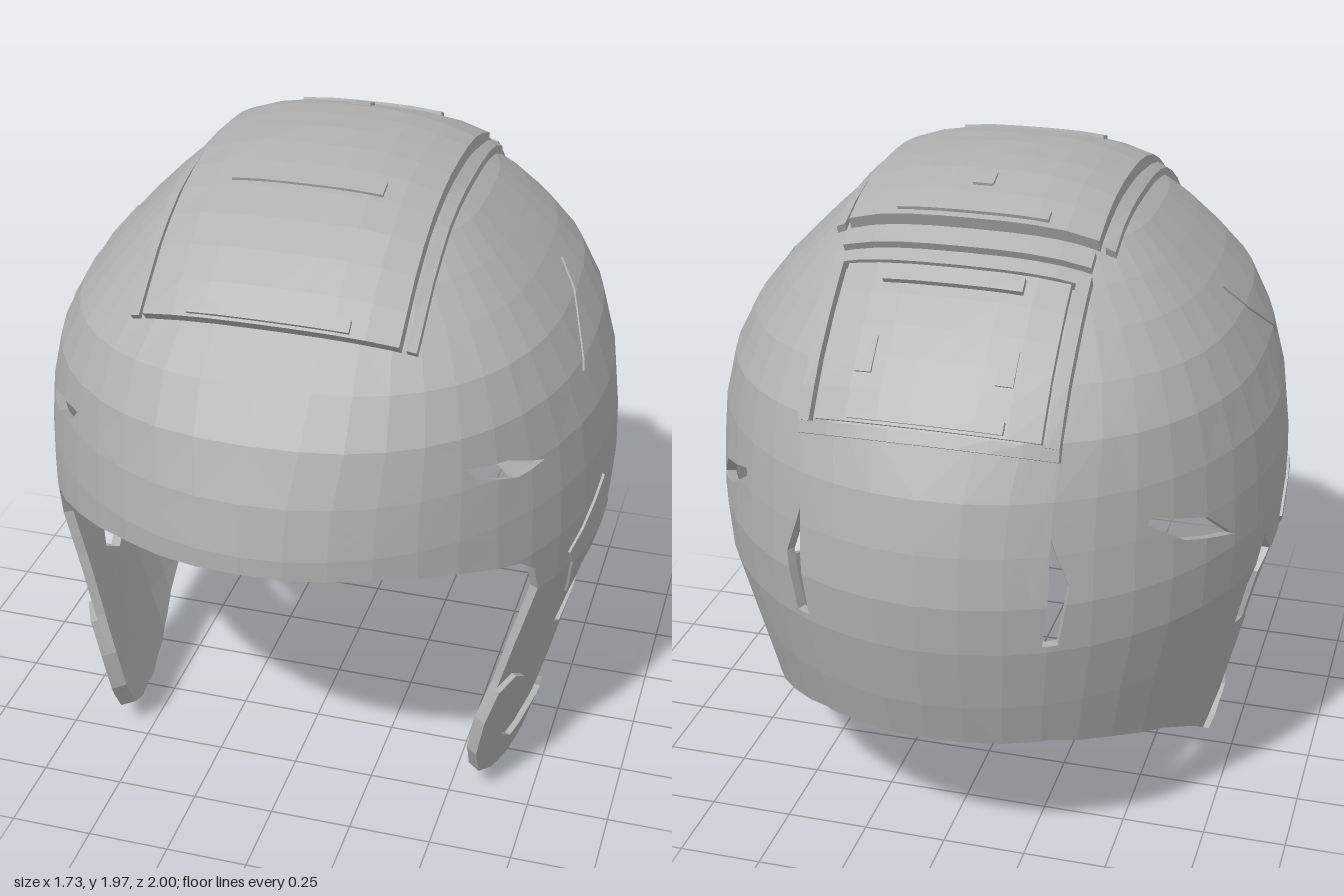
import * as THREE from 'three';

// Horizontal rings of the shell: height, half width, front depth, back depth
const RINGS = [
  [0, .64, .95, .80], [.2, .70, .96, .83], [.4, .75, .97, .88], [.6, .80, .98, .94],
  [.8, .855, .99, .985], [.95, .865, 1, 1], [1.1, .86, 1, .985], [1.25, .84, .97, .95],
  [1.4, .79, .91, .875], [1.53, .72, .82, .77], [1.64, .63, .68, .66], [1.73, .54, .58, .56],
  [1.81, .455, .46, .44], [1.87, .36, .33, .32], [1.91, .22, .2, .2], [1.93, 0, 0, 0],
];
const COLS = 22, TOP = RINGS.length - 1, CENTRE_Y = .9;

const grey = new THREE.MeshStandardMaterial({ color: 0xb0b0b0, flatShading: true });
grey.name = 'shell grey';

const clamp = THREE.MathUtils.clamp, lerp = THREE.MathUtils.lerp;

// Rings grow boxier towards the crown
const power = (y) => 2 + clamp((y - 1.2) / .6, 0, 1);

function ringAt(y) {
  let i = 0;
  while (i < TOP - 1 && RINGS[i + 1][0] < y) i++;
  const f = clamp((y - RINGS[i][0]) / (RINGS[i + 1][0] - RINGS[i][0]), 0, 1);
  const [, w, zf, zb] = RINGS[i].map((a, k) => lerp(a, RINGS[i + 1][k], f));
  return { v: i + f, w, zf, zb };
}

// Side position [z, y] to unrolled surface coordinates [column, ring]
function toUV([z, y]) {
  const r = ringAt(y);
  const t = clamp(z / (z > 0 ? r.zf : r.zb), -1, 1);
  const c = Math.sign(t) * Math.pow(Math.abs(t), power(y) / 2);
  return [Math.acos(c) / Math.PI * COLS, r.v];
}

function gridPoint(i, j) {
  const [y, w, zf, zb] = RINGS[j], e = 2 / power(y), a = i / COLS * Math.PI;
  const c = Math.cos(a), s = Math.max(0, Math.sin(a));
  return new THREE.Vector3(i % COLS ? w * s ** e : 0, y,
    Math.sign(c) * Math.abs(c) ** e * (c > 0 ? zf : zb));
}

// Point on the faceted shell, moved outwards by d
function surface([u, v], d) {
  const i = Math.min(COLS - 1, Math.floor(u + 1e-7)), j = Math.min(TOP - 1, Math.floor(v + 1e-7));
  const p = gridPoint(i, j).lerp(gridPoint(i + 1, j), u - i)
    .lerp(gridPoint(i, j + 1).lerp(gridPoint(i + 1, j + 1), u - i), v - j);
  const out = new THREE.Vector3(p.x, Math.max(0, p.y - CENTRE_Y), p.z).normalize();
  return p.addScaledVector(out, d);
}

// Cut convex polygons along whole-number grid lines of one axis
function slice(polys, axis) {
  const result = [];
  for (let poly of polys) {
    const vals = poly.map((p) => p[axis]), max = Math.max(...vals);
    for (let k = Math.floor(Math.min(...vals) + 1e-7) + 1; k < max - 1e-7; k++) {
      const lo = [], hi = [];
      poly.forEach((a, i) => {
        const b = poly[(i + 1) % poly.length], da = a[axis] - k, db = b[axis] - k;
        if (da < 1e-7) lo.push(a);
        if (da > -1e-7) hi.push(a);
        if ((da < -1e-7 && db > 1e-7) || (da > 1e-7 && db < -1e-7)) {
          const f = da / (da - db), m = [lerp(a[0], b[0], f), lerp(a[1], b[1], f)];
          m[axis] = k;
          lo.push(m);
          hi.push(m);
        }
      });
      if (lo.length > 2) result.push(lo);
      poly = hi;
    }
    if (poly.length > 2) result.push(poly);
  }
  return result;
}

// Closed sheet following the shell, with outline and holes in unrolled coordinates
function skin(outline, holes, outer, inner, side) {
  const vec = (list) => list.map(([u, v]) => new THREE.Vector2(u, v));
  const all = [outline, ...holes].flat();
  const tris = THREE.ShapeUtils.triangulateShape(vec(outline), holes.map(vec)).map((t) => {
    const [a, b, c] = t.map((i) => all[i]);
    return (b[0] - a[0]) * (c[1] - a[1]) < (b[1] - a[1]) * (c[0] - a[0]) ? [a, c, b] : [a, b, c];
  });
  const polys = slice(slice(tris, 0), 1), pos = [];
  const face = (...pts) => {
    for (let i = 1; i < pts.length - 1; i++) {
      const t = [pts[0], pts[i], pts[i + 1]];
      if (side < 0) t.reverse();
      t.forEach((p) => pos.push(p.x * side, p.y, p.z));
    }
  };
  const key = (p) => p.map((n) => Math.round(n * 1e4)).join();
  const edges = new Map();
  for (const poly of polys) {
    face(...poly.map((p) => surface(p, outer)));
    face(...poly.map((p) => surface(p, inner)).reverse());
    poly.forEach((a, i) => {
      const b = poly[(i + 1) % poly.length];
      edges.set(key(a) + '|' + key(b), [a, b]);
    });
  }
  // Walls along the rim and the holes, not on the centre line
  const on = (a, b, axis, k) => Math.abs(a[axis] - k) + Math.abs(b[axis] - k) < 1e-5;
  for (const [a, b] of edges.values()) {
    if (edges.has(key(b) + '|' + key(a))) continue;
    if (on(a, b, 0, 0) || on(a, b, 0, COLS) || on(a, b, 1, TOP)) continue;
    face(surface(a, outer), surface(a, inner), surface(b, inner), surface(b, outer));
  }
  const g = new THREE.BufferGeometry();
  g.setAttribute('position', new THREE.Float32BufferAttribute(pos, 3));
  g.computeVertexNormals();
  return g;
}

// Distance from the centre axis to the shell at width x and angle a (up = 0, front = +)
function reach(x, a) {
  let lo = 0, hi = 1.4;
  for (let i = 0; i < 30; i++) {
    const r = (lo + hi) / 2, y = CENTRE_Y + r * Math.cos(a), z = r * Math.sin(a);
    const s = ringAt(y), n = power(y);
    const inside = y < 1.93 && Math.abs(x / s.w) ** n + Math.abs(z / (z > 0 ? s.zf : s.zb)) ** n < 1;
    if (inside) lo = r; else hi = r;
  }
  return lo;
}

// Raised slab bent over the crown, between two widths and two angles in degrees
function slab(x0, x1, a0, a1, h) {
  const g = new THREE.BoxGeometry(1, 1, 1, Math.ceil((x1 - x0) / .1), 1, Math.ceil((a1 - a0) / 6));
  const p = g.attributes.position;
  for (let i = 0; i < p.count; i++) {
    const x = lerp(x0, x1, p.getX(i) + .5);
    const a = THREE.MathUtils.degToRad(lerp(a0, a1, p.getZ(i) + .5));
    const r = reach(x, a) + (p.getY(i) > 0 ? h : -.02);
    p.setXYZ(i, x, CENTRE_Y + r * Math.cos(a), r * Math.sin(a));
  }
  g.computeVertexNormals();
  return g;
}

export function createModel() {
  const group = new THREE.Group();
  const add = (name, geometry) => {
    const mesh = new THREE.Mesh(geometry, grey);
    mesh.name = name;
    group.add(mesh);
  };

  // Lower edge from brow, around the ear flap, to the nape, as [z, y]
  const rim = [[2, 1.045], [.9, 1.03], [.75, .99], [.58, .94], [.52, .89], [.49, .8], [.5, .65],
    [.52, .45], [.55, .33], [.54, .2], [.48, .09], [.37, .03], [.2, 0], [.05, .03], [-.05, .08],
    [-.2, .18], [-.35, .27], [-.48, .34], [-.65, .4], [-.8, .45], [-2, .46]];
  const holes = [
    [[.23, .51], [.17, .6], [-.03, .775], [-.08, .68], [-.04, .51], [.12, .44]],          // ear
    [[-.12, .8], [-.19, .88], [-.26, .74], [-.22, .58], [-.14, .56], [-.17, .74]],        // behind ear
    [[-.42, .99], [-.53, 1.09], [-.7, 1.155], [-.71, 1.135], [-.61, 1.05]],               // rear side vent
    [[.72, 1.31], [.61, 1.29], [.48, 1.235], [.58, 1.225], [.7, 1.27]],                   // temple vent
    [[-.885, 1.15], [-.875, 1], [-.883, .82], [-.905, .82], [-.905, 1]],                  // nape slot
  ].map((h) => h.map(toUV));
  const outline = [...rim.map(toUV), [COLS, TOP], [0, TOP]];
  const flapTrim = [[.53, .44], [.46, .46], [.4, .42], [.42, .2], [.32, .12], [.1, .16], [0, .1],
    [-.05, .08], [.05, .03], [.2, 0], [.37, .03], [.48, .09], [.54, .2], [.55, .33]].map(toUV);
  const earPlate = [[.35, .85], [.13, 1], [.02, .84], [.26, .65]].map(toUV);
  const crease = [[.2, 1.375], [0, 1.52], [-.08, 1.6], [.01, 1.54]].map(toUV);

  for (const side of [1, -1]) {
    const word = side > 0 ? 'left' : 'right';
    add(word + 'Shell', skin(outline, holes, 0, -.03, side));
    add(word + 'FlapTrim', skin(flapTrim, [], .02, 0, side));
    add(word + 'EarPlate', skin(earPlate, [], .008, 0, side));
    add(word + 'SideCrease', skin(crease, [], .006, 0, side));
  }

  // Crown panel with side rails, front lip, ridge and stud
  add('crownPanel', slab(-.365, .365, -23, 43, .04));
  for (const s of [-1, 1]) {
    add('crownRail', slab(s * .395 - .014, s * .395 + .014, -23, 43, .025));
  }
  add('crownFrontLip', slab(-.23, .23, 40.5, 42.5, .052));
  add('crownRidge', slab(-.22, .22, 15, 18, .047));
  add('crownRearLip', slab(-.22, .22, -22, -20, .05));
  add('crownStud', slab(-.03, .03, -15.5, -12.5, .048));
  add('crossBar', slab(-.36, .36, -28, -24.5, .025));

  // Rear hatch: frame, inset plate and latches
  add('hatchPlate', slab(-.32, .32, -59, -32, .022));
  add('hatchTop', slab(-.37, .37, -32, -30, .035));
  add('hatchBottom', slab(-.37, .37, -61.5, -59.5, .03));
  for (const s of [-1, 1]) {
    add('hatchSide', slab(s * .352 - .018, s * .352 + .018, -59.5, -32, .035));
    add('hatchTab', slab(s * .2 - .025, s * .2 + .025, -51, -45, .028));
  }
  add('hatchUpperLatch', slab(-.2, .2, -35.5, -33, .038));
  add('hatchLowerLatch', slab(-.22, .22, -58.5, -56.5, .036));
  return group;
}
